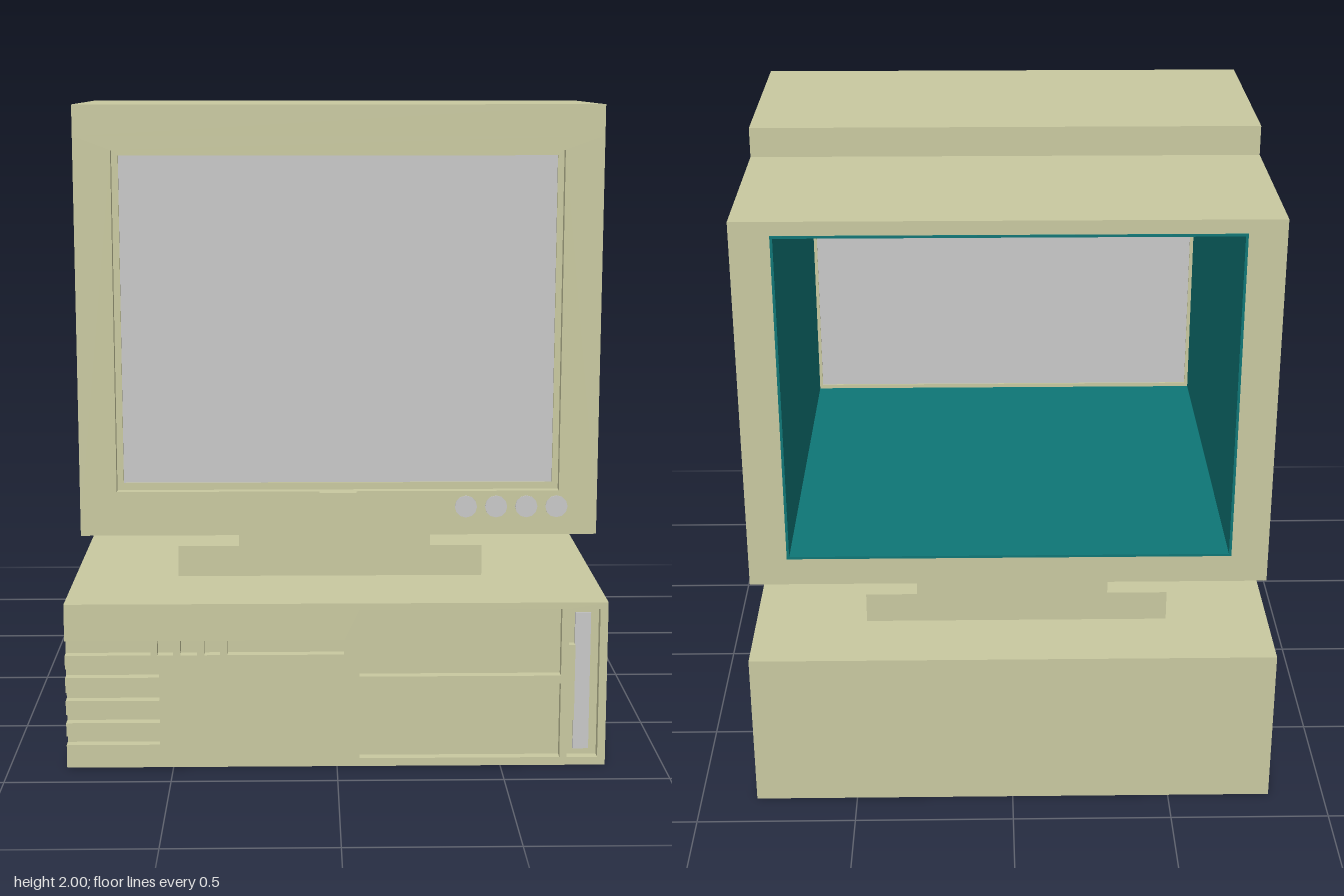
import * as THREE from 'three';

const material = (name, color) => {
  const m = new THREE.MeshStandardMaterial({ color });
  m.name = name;
  return m;
};

// Points of a rectangle, counter-clockwise
const corners = ([x0, x1, y0, y1]) =>
  [[x0, y0], [x1, y0], [x1, y1], [x0, y1]].map(([x, y]) => new THREE.Vector2(x, y));

export function createModel() {
  const beige = material('beigePlastic', 0xc9c9a0);
  const grey = material('greyGlass', 0xc8c8c8);
  const teal = material('tealLining', 0x0e7676);
  const model = new THREE.Group();
  model.name = 'desktopComputer';
  const monitor = new THREE.Group();
  monitor.name = 'monitor';
  const stand = new THREE.Group();
  stand.name = 'stand';
  const tower = new THREE.Group();
  tower.name = 'systemUnit';
  model.add(monitor, stand, tower);

  const add = (parent, name, geometry, mat) => {
    const mesh = new THREE.Mesh(geometry, mat);
    mesh.name = name;
    parent.add(mesh);
    return mesh;
  };
  // Box given by its limits on each axis
  const box = (parent, name, mat, x0, x1, y0, y1, z0, z1) =>
    add(parent, name, new THREE.BoxGeometry(x1 - x0, y1 - y0, z1 - z0), mat)
      .position.set((x0 + x1) / 2, (y0 + y1) / 2, (z0 + z1) / 2);
  // Flat outline with rectangular holes, extruded along z
  const panel = (parent, name, mat, outline, holes, z0, z1) => {
    const shape = new THREE.Shape(outline);
    holes.forEach(h => shape.holes.push(new THREE.Path(corners(h).reverse())));
    const g = new THREE.ExtrudeGeometry(shape, { depth: z1 - z0, bevelEnabled: false });
    g.translate(0, 0, z0);
    add(parent, name, g, mat);
  };

  // Monitor shell: hollow core, raised front top and deeper front bottom
  const opening = [-0.685, 0.702, 0.8, 1.862];
  const inner = [-0.677, 0.694, 0.808, 1.854];
  const glass = [-0.665, 0.683, 0.822, 1.845];
  panel(monitor, 'shell', beige, corners([-0.8, 0.822, 0.71, 1.905]), [opening], -0.74, 0.604);
  box(monitor, 'shellTop', beige, -0.8, 0.822, 1.905, 2, -0.105, 0.604);
  box(monitor, 'shellBottom', beige, -0.8, 0.822, 0.66, 0.71, -0.08, 0.604);
  panel(monitor, 'interiorLining', teal, corners(opening), [inner], -0.742, 0.555);
  panel(monitor, 'screenBezel', beige, corners(opening), [glass], 0.555, 0.575);
  box(monitor, 'screen', grey, glass[0], glass[1], glass[2], glass[3], 0.56, 0.568);
  box(monitor, 'latch', beige, -0.05, 0.066, 0.781, 0.8, 0.6, 0.628);

  // Row of control buttons under the screen
  for (let i = 0; i < 4; i++) {
    const g = new THREE.CylinderGeometry(0.035, 0.035, 0.006, 12);
    g.rotateX(Math.PI / 2);
    add(monitor, 'controlButton', g, grey).position.set(0.41 + i * 0.095, 0.75, 0.605);
  }

  // Stand: neck stepping up under the monitor, on a wide foot
  box(stand, 'neckFront', beige, -0.305, 0.302, 0.613, 0.66, -0.08, 0.556);
  box(stand, 'neckBack', beige, -0.305, 0.302, 0.613, 0.71, -0.667, -0.08);
  box(stand, 'foot', beige, -0.498, 0.466, 0.515, 0.613, -0.64, 0.556);

  // System unit: body with a vertical groove down each side
  const L = -0.825, R = 0.822, H = 0.515, recess = 0.85, front = 0.88;
  box(tower, 'body', beige, L, R, 0, H, -0.88, 0.72);
  box(tower, 'grooveCore', beige, L + 0.02, R - 0.02, 0.025, 0.495, 0.72, 0.745);
  box(tower, 'grooveBottom', beige, L, R, 0, 0.025, 0.72, 0.745);
  box(tower, 'grooveTop', beige, L, R, 0.495, H, 0.72, 0.745);
  box(tower, 'frontBody', beige, L, R, 0, H, 0.745, recess);

  // Front panel: vents notched into the side, recessed buttons and drive bays
  const outline = [[L, 0], [R, 0], [R, H], [L, H]];
  const vents = [[0.355, 0.4, -0.565], [0.285, 0.312, -0.54], [0.212, 0.238, -0.54],
    [0.142, 0.168, -0.54], [0.072, 0.1, -0.54]];
  vents.forEach(([y0, y1, x]) => outline.push([L, y1], [x, y1], [x, y0], [L, y0]));
  panel(tower, 'frontPanel', beige, outline.map(p => new THREE.Vector2(...p)), [
    [-0.545, -0.497, 0.355, 0.4], [-0.475, -0.424, 0.355, 0.4], [-0.402, -0.355, 0.355, 0.4],
    [-0.332, 0.021, 0.355, 0.4],
    [0.068, 0.682, 0.285, 0.495], [0.068, 0.682, 0.025, 0.26],
    [0.704, 0.798, 0.025, 0.495],
  ], recess, front);

  // Grey strip and its side tab in the narrow bay
  box(tower, 'greyStrip', grey, 0.725, 0.773, 0.045, 0.477, recess, 0.859);
  box(tower, 'stripTab', beige, 0.704, 0.725, 0.142, 0.38, recess, 0.875);

  return model;
}
